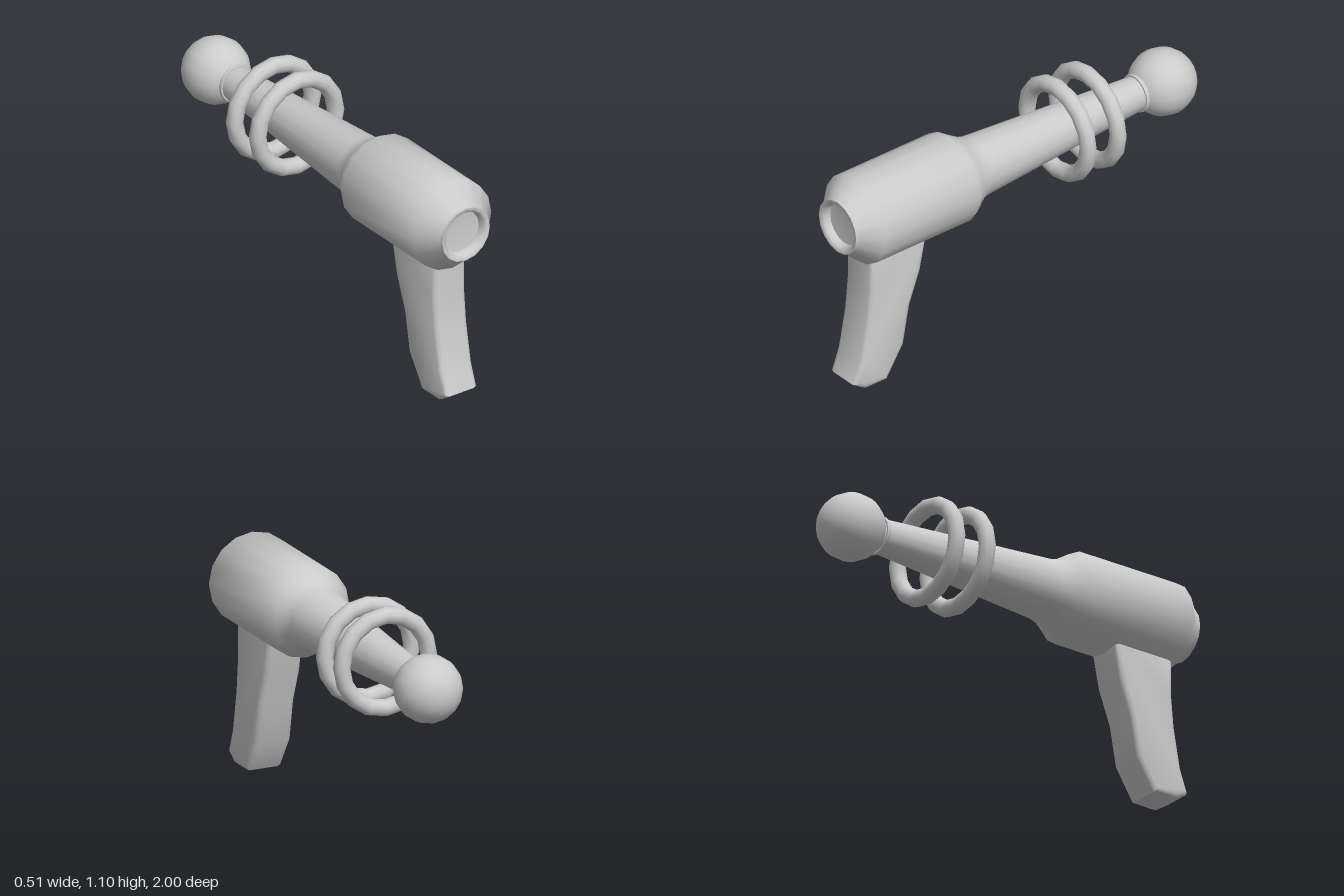
import * as THREE from 'three';
import { toCreasedNormals } from 'three/addons/utils/BufferGeometryUtils.js';

const AXIS_Y = 0.85; // height of the barrel axis

export function createModel() {
  const model = new THREE.Group();
  const material = new THREE.MeshStandardMaterial({ color: 0xcccccc });

  const add = (name, geometry, y = 0, z = 0) => {
    const mesh = new THREE.Mesh(geometry, material);
    mesh.name = name;
    mesh.position.set(0, y, z);
    model.add(mesh);
  };

  // Turned part along z; profile is [radius, z] from back to front
  const turned = (profile) => {
    const points = profile.map(([r, z]) => new THREE.Vector2(r, z));
    return toCreasedNormals(new THREE.LatheGeometry(points, 16).rotateX(Math.PI / 2), 0.9);
  };

  // Body, shoulder and tapering barrel, with a recessed dish at the front
  add('bodyAndBarrel', turned([
    [0, -0.72], [0.078, -0.72], [0.142, 0.23], [0.154, 0.27], [0.177, 0.31],
    [0.213, 0.365], [0.213, 0.9], [0.131, 0.985], [0.131, 1], [0.118, 1],
    [0.107, 0.99], [0.1, 0.96], [0, 0.95],
  ]), AXIS_Y);

  // Thin collar before the tip
  add('collar', turned([
    [0.07, -0.705], [0.088, -0.705], [0.091, -0.697], [0.088, -0.688], [0.07, -0.688],
  ]), AXIS_Y);

  // Ball tip
  add('ballTip', new THREE.SphereGeometry(0.155, 16, 16).rotateX(Math.PI / 2), AXIS_Y, -0.845);

  // Floating rings around the barrel
  for (const [name, z] of [['innerRing', -0.25], ['outerRing', -0.42]]) {
    add(name, new THREE.TorusGeometry(0.214, 0.039, 10, 16), AXIS_Y, z);
  }

  // Grip: side outline as [z, y], extruded across x with rounded edges
  const outline = [
    [0.88, 0.7], [0.88, 0.5], [0.895, 0.34], [0.93, 0.15], [0.97, 0.04], [0.91, 0],
    [0.785, 0], [0.69, 0.15], [0.655, 0.34], [0.595, 0.5], [0.555, 0.7],
  ];
  const bevel = 0.02;
  const width = 0.176;
  const grip = new THREE.ExtrudeGeometry(
    new THREE.Shape(outline.map(([z, y]) => new THREE.Vector2(z, y))),
    {
      depth: width - 2 * bevel, bevelThickness: bevel, bevelSize: bevel,
      bevelOffset: -bevel, bevelSegments: 2,
    },
  );
  grip.translate(0, 0, bevel - width / 2).rotateY(-Math.PI / 2);
  add('grip', toCreasedNormals(grip, 0.9));

  return model;
}
